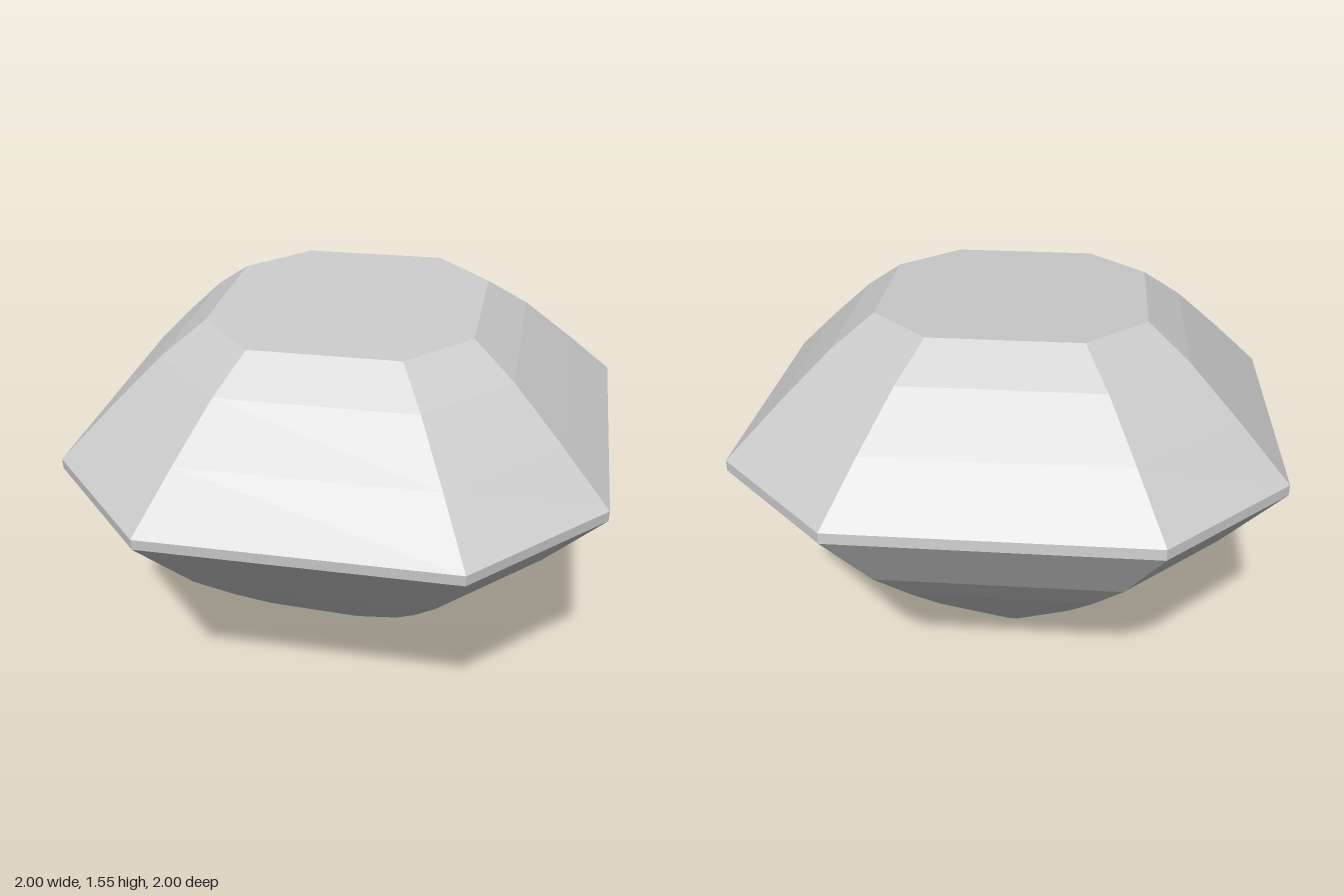
import * as THREE from 'three';

// Cut-corner square outline; k is the half length of each straight side
const k = 0.556;
const OUTLINE = [[1, -k], [1, k], [k, 1], [-k, 1], [-1, k], [-1, -k], [-k, -1], [k, -1]];
const TILT = Math.atan(0.0725);
const GIRDLE_Y = 1.0;

// Profiles as [half width, height], listed from bottom to top
const PAVILION = [[0.03, 0], [0.255, 0.2], [0.457, 0.38], [0.62, 0.54], [0.79, 0.72], [1, 1.0]];
const GIRDLE = [[1, 1.0], [1, 1.04]];
const CROWN = [[1, 1.04], [0.82, 1.225], [0.64, 1.4], [0.49, 1.515]];

const ring = ([r, y]) => OUTLINE.map(([x, z]) => [x * r, y - GIRDLE_Y, z * r]);

function facetMesh(name, triangles, material) {
  const geometry = new THREE.BufferGeometry();
  geometry.setAttribute('position', new THREE.Float32BufferAttribute(triangles.flat(), 3));
  geometry.computeVertexNormals();
  const mesh = new THREE.Mesh(geometry, material);
  mesh.name = name;
  return mesh;
}

// Facets joining successive rings of a profile
function band(name, profile, material) {
  const rings = profile.map(ring);
  const points = [];
  for (let s = 0; s < rings.length - 1; s++) {
    const a = rings[s], b = rings[s + 1];
    for (let i = 0; i < a.length; i++) {
      const j = (i + 1) % a.length;
      points.push(a[i], b[i], b[j], a[i], b[j], a[j]);
    }
  }
  return facetMesh(name, points, material);
}

// Flat octagon closing one end
function cap(name, level, up, material) {
  const loop = ring(level);
  const centre = [0, level[1] - GIRDLE_Y, 0];
  const points = [];
  loop.forEach((p, i) => {
    const q = loop[(i + 1) % loop.length];
    points.push(centre, ...(up ? [q, p] : [p, q]));
  });
  return facetMesh(name, points, material);
}

export function createModel() {
  const material = new THREE.MeshStandardMaterial({ color: 0xcccccc, flatShading: true });

  // The whole stone leans slightly forward about the girdle centre
  const gem = new THREE.Group();
  gem.name = 'gem';
  gem.add(
    cap('culet', PAVILION[0], false, material),
    band('pavilion', PAVILION, material),
    band('girdle', GIRDLE, material),
    band('crown', CROWN, material),
    cap('table', CROWN[CROWN.length - 1], true, material),
  );
  gem.rotation.x = TILT;
  gem.position.y = GIRDLE_Y;

  const model = new THREE.Group();
  model.name = 'gemstone';
  model.add(gem);
  return model;
}
